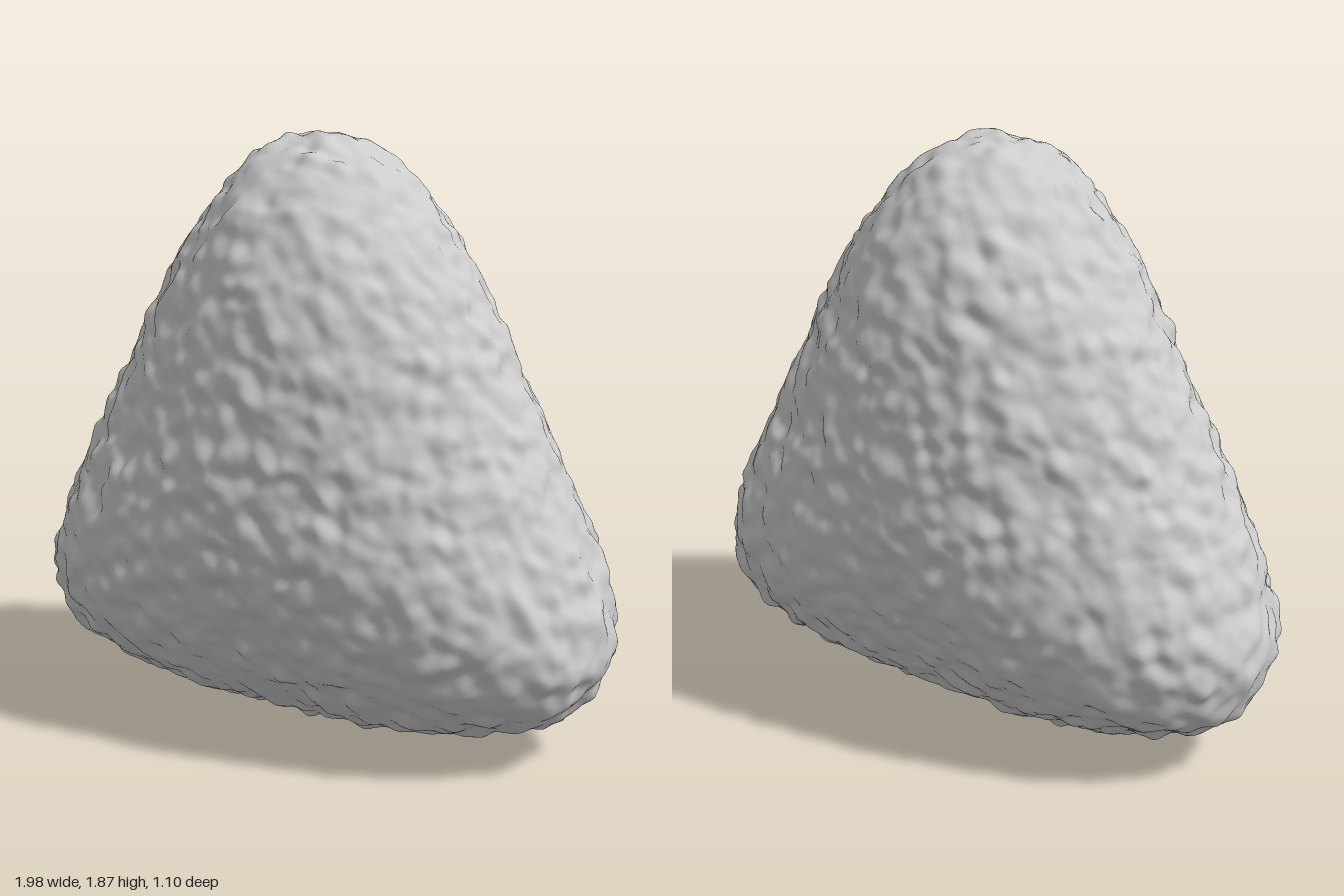
import * as THREE from 'three';
import { mergeVertices } from 'three/addons/utils/BufferGeometryUtils.js';

const { lerp, clamp } = THREE.MathUtils;
const CENTRE_Y = 0.78;
const HALF_DEPTH = 0.535;

// Right half of the rounded-triangle outline, bottom to top
const HALF_OUTLINE = [
  [0, 0.02], [0.4, 0.04], [0.68, 0.1], [0.89, 0.19], [0.985, 0.36], [0.945, 0.57], [0.845, 0.81],
  [0.72, 1.05], [0.59, 1.29], [0.45, 1.52], [0.3, 1.71], [0.15, 1.84], [0, 1.875],
];

// Outline radius about the centre, tabulated by angle
function makeOutlineRadius() {
  const mirrored = HALF_OUTLINE.slice(1, -1).reverse().map(([x, y]) => [-x, y]);
  const points = [...HALF_OUTLINE, ...mirrored].map(([x, y]) => new THREE.Vector3(x, y - CENTRE_Y, 0));
  const samples = new THREE.CatmullRomCurve3(points, true).getPoints(720)
    .map((p) => ({ a: Math.atan2(p.y, p.x), r: p.length() }))
    .sort((p, q) => p.a - q.a);
  return (angle) => {
    let lo = 0, hi = samples.length - 1;
    while (hi - lo > 1) {
      const mid = (lo + hi) >> 1;
      if (samples[mid].a <= angle) lo = mid; else hi = mid;
    }
    const p = samples[lo], q = samples[hi];
    const t = q.a > p.a ? clamp((angle - p.a) / (q.a - p.a), 0, 1) : 0;
    return lerp(p.r, q.r, t);
  };
}

// Half thickness from the centre (f = 0) to the rim (f = 1): a gentle taper with
// a rounded rim, blunt at the three corners and slimmer along the edges
function thickness(f, angle) {
  const corner = (1 - Math.sin(3 * angle)) / 2;
  const flank = clamp(Math.sin(angle) + 0.5, 0, 1) * (1 - corner);
  const taper = lerp(0.18, 0.25, corner) * (Math.sqrt(f * f + 0.02) - 0.14);
  const roundness = lerp(2.3, 3.9, corner) + 0.3 * flank;
  return HALF_DEPTH * (1 - taper) * Math.sqrt(Math.max(0, 1 - Math.pow(f, roundness)));
}

// Smooth seeded value noise in -1..1
function hash(x, y, z) {
  let h = Math.imul(x, 374761393) ^ Math.imul(y, 668265263) ^ Math.imul(z, 873209357);
  h = Math.imul(h ^ (h >>> 13), 1274126177);
  h = Math.imul(h ^ (h >>> 15), 2246822519);
  return ((h ^ (h >>> 16)) >>> 0) / 2147483648 - 1;
}

function noise(x, y, z) {
  const cell = [x, y, z].map(Math.floor);
  const [u, v, w] = [x - cell[0], y - cell[1], z - cell[2]].map((f) => f * f * (3 - 2 * f));
  let sum = 0;
  for (let i = 0; i < 2; i++) for (let j = 0; j < 2; j++) for (let k = 0; k < 2; k++) {
    const weight = (i ? u : 1 - u) * (j ? v : 1 - v) * (k ? w : 1 - w);
    sum += weight * hash(cell[0] + i, cell[1] + j, cell[2] + k);
  }
  return sum;
}

function createBody() {
  const sphere = new THREE.IcosahedronGeometry(1, 75);
  sphere.deleteAttribute('normal');
  sphere.deleteAttribute('uv');
  const geometry = mergeVertices(sphere, 1e-5);
  const position = geometry.attributes.position;
  const outlineRadius = makeOutlineRadius();
  const p = new THREE.Vector3(), n = new THREE.Vector3(), q = new THREE.Vector3();

  // Stretch the sphere to the outline and thickness
  for (let i = 0; i < position.count; i++) {
    p.fromBufferAttribute(position, i);
    const angle = Math.atan2(p.y, p.x);
    const f = Math.min(1, Math.hypot(p.x, p.y));
    const reach = outlineRadius(angle) * f;
    const z = Math.sign(p.z) * thickness(f, angle);
    position.setXYZ(i, Math.cos(angle) * reach, CENTRE_Y + Math.sin(angle) * reach, z);
  }
  geometry.computeVertexNormals();

  // Grainy, lumpy surface; the noise grid is turned so it does not line up with the faces
  const normal = geometry.attributes.normal;
  const turn = new THREE.Euler(0.6, 0.8, 0.5);
  for (let i = 0; i < position.count; i++) {
    p.fromBufferAttribute(position, i);
    n.fromBufferAttribute(normal, i);
    q.copy(p).applyEuler(turn);
    const bump = 0.016 * noise(q.x * 18, q.y * 18, q.z * 18)
      + 0.005 * noise(q.x * 8 + 9, q.y * 8, q.z * 8)
      + 0.004 * noise(q.x * 30, q.y * 30, q.z * 30 + 9);
    p.addScaledVector(n, bump);
    position.setXYZ(i, p.x, p.y, p.z);
  }
  geometry.computeVertexNormals();

  // Centre it and stand it on the ground
  geometry.computeBoundingBox();
  const { min, max } = geometry.boundingBox;
  geometry.translate(-(min.x + max.x) / 2, -min.y, -(min.z + max.z) / 2);
  return geometry;
}

export function createModel() {
  const group = new THREE.Group();
  group.name = 'riceBall';
  const body = new THREE.Mesh(createBody(), new THREE.MeshStandardMaterial({ color: 0xcccccc }));
  body.name = 'riceBody';
  group.add(body);
  return group;
}
